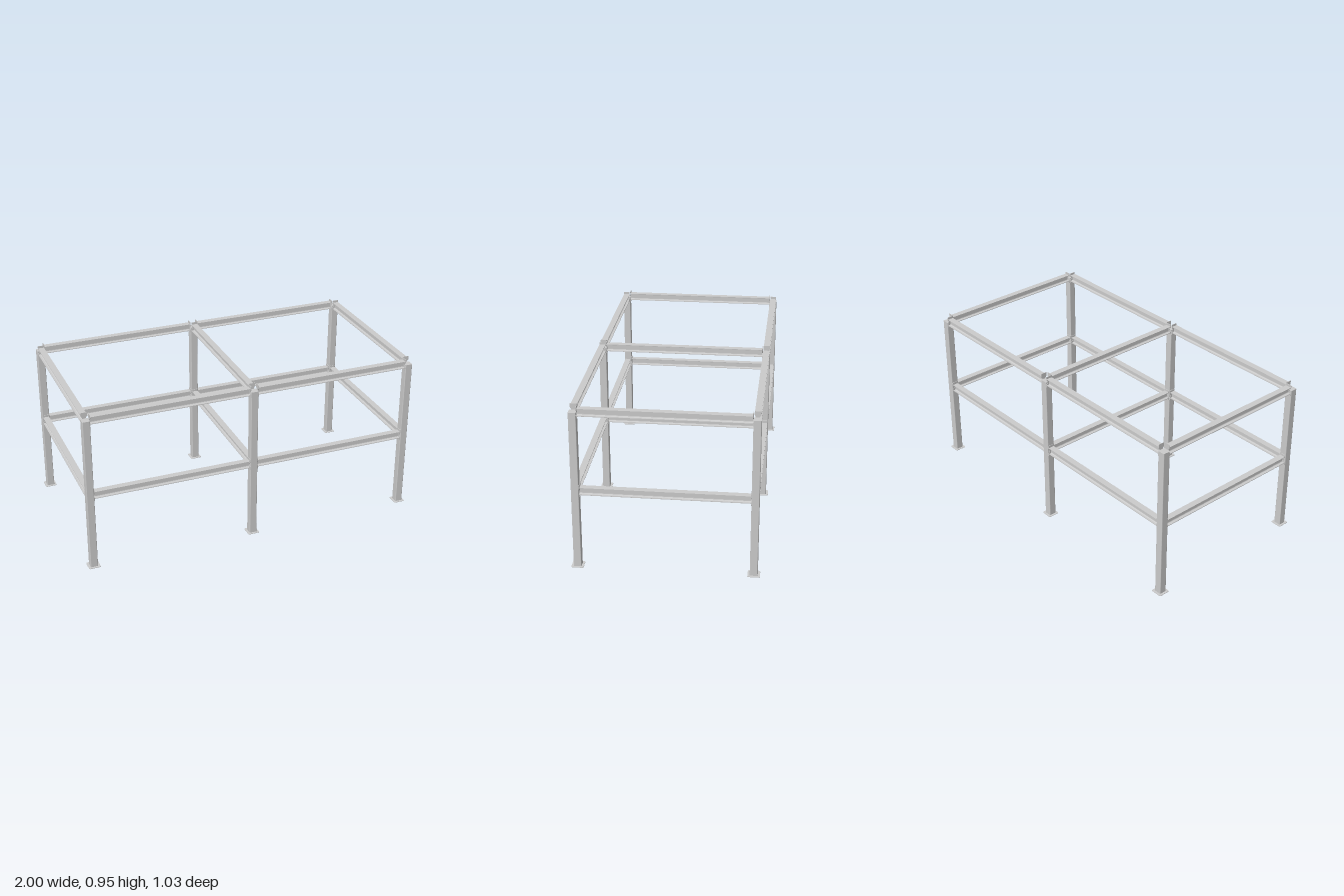
import * as THREE from 'three';

const POST = 0.0215, BASE = 0.034, PX = 0.966, PZ = 0.483, TOP = 0.92;
const BEAM_Y = [0.461, 0.9205];
const mat = new THREE.MeshStandardMaterial({ color: 0xcccccc, side: THREE.DoubleSide });

// Square with rounded corners, h = half width
function roundedSquare(h, r, Kind = THREE.Shape) {
  const s = new Kind();
  [[1, 1], [-1, 1], [-1, -1], [1, -1]].forEach(([sx, sy], i) => {
    s.absarc(sx * (h - r), sy * (h - r), r, i * Math.PI / 2, (i + 1) * Math.PI / 2, false);
  });
  return s;
}

function ring(outer, rOuter, inner, rInner) {
  const s = roundedSquare(outer, rOuter);
  s.holes.push(roundedSquare(inner, rInner, THREE.Path));
  return s;
}

// I-shaped outline: half flange width, half height, flange thickness, half web, fillet
function iShape(w, h, t, web, r) {
  const s = new THREE.Shape();
  const y = h - t;
  s.moveTo(-w, -h);
  s.lineTo(w, -h);
  s.lineTo(w, -y);
  s.lineTo(web + r, -y);
  s.quadraticCurveTo(web, -y, web, -y + r);
  s.lineTo(web, y - r);
  s.quadraticCurveTo(web, y, web + r, y);
  s.lineTo(w, y);
  s.lineTo(w, h);
  s.lineTo(-w, h);
  s.lineTo(-w, y);
  s.lineTo(-web - r, y);
  s.quadraticCurveTo(-web, y, -web, y - r);
  s.lineTo(-web, -y + r);
  s.quadraticCurveTo(-web, -y, -web - r, -y);
  s.lineTo(-w, -y);
  s.closePath();
  return s;
}

// Waisted end plate that bolts a beam to a post
function plateShape() {
  const half = [[0.01, 0], [0.011, 0.005], [0.018, 0.014], [0.018, 0.033], [0.016, 0.0345]];
  const right = [...half.slice(1).reverse().map(([x, y]) => [x, -y]), ...half];
  const left = right.map(([x, y]) => [-x, y]).reverse();
  return new THREE.Shape([...right, ...left].map(([x, y]) => new THREE.Vector2(x, y)));
}

const extrude = (shape, depth) =>
  new THREE.ExtrudeGeometry(shape, { depth, bevelEnabled: false, curveSegments: 4 });
const upright = (shape, height, y) =>
  extrude(shape, height).rotateX(-Math.PI / 2).translate(0, y, 0);

function addMesh(parent, name, geometry) {
  const m = new THREE.Mesh(geometry, mat);
  m.name = name;
  parent.add(m);
  return m;
}

// I-beam with two end plates, centred at (x, y, z), running along z or x
function makeBeam(name, length, x, y, z, alongX) {
  const g = new THREE.Group();
  g.name = name;
  addMesh(g, 'beam', extrude(iShape(0.018, 0.0215, 0.0035, 0.002, 0.007), length).translate(0, 0, -length / 2));
  const plate = extrude(plateShape(), 0.003);
  addMesh(g, 'endPlate', plate).position.z = -length / 2;
  addMesh(g, 'endPlate', plate).position.z = length / 2 - 0.003;
  g.position.set(x, y, z);
  if (alongX) g.rotation.y = Math.PI / 2;
  return g;
}

export function createModel() {
  const model = new THREE.Group();
  model.name = 'steelFrame';

  // Hollow posts with a thin foot flange and a closed top
  const tube = upright(ring(POST, 0.004, POST - 0.003, 0.002), TOP - 0.002, 0);
  const cap = upright(roundedSquare(POST, 0.004), 0.002, TOP - 0.002);
  const foot = upright(ring(BASE, 0.007, POST - 0.003, 0.002), 0.003, 0);
  for (const x of [-PX, 0, PX]) {
    for (const z of [-PZ, PZ]) {
      const post = new THREE.Group();
      post.name = 'post';
      addMesh(post, 'tube', tube);
      addMesh(post, 'cap', cap);
      addMesh(post, 'foot', foot);
      post.position.set(x, 0, z);
      model.add(post);
    }
  }

  // Middle and top levels of beams between the posts
  for (const y of BEAM_Y) {
    for (const x of [-PX, 0, PX]) {
      model.add(makeBeam('crossBeam', 2 * (PZ - POST), x, y, 0, false));
    }
    for (const z of [-PZ, PZ]) {
      for (const s of [-1, 1]) {
        model.add(makeBeam('longBeam', PX - 2 * POST, s * PX / 2, y, z, true));
      }
    }
  }
  return model;
}
